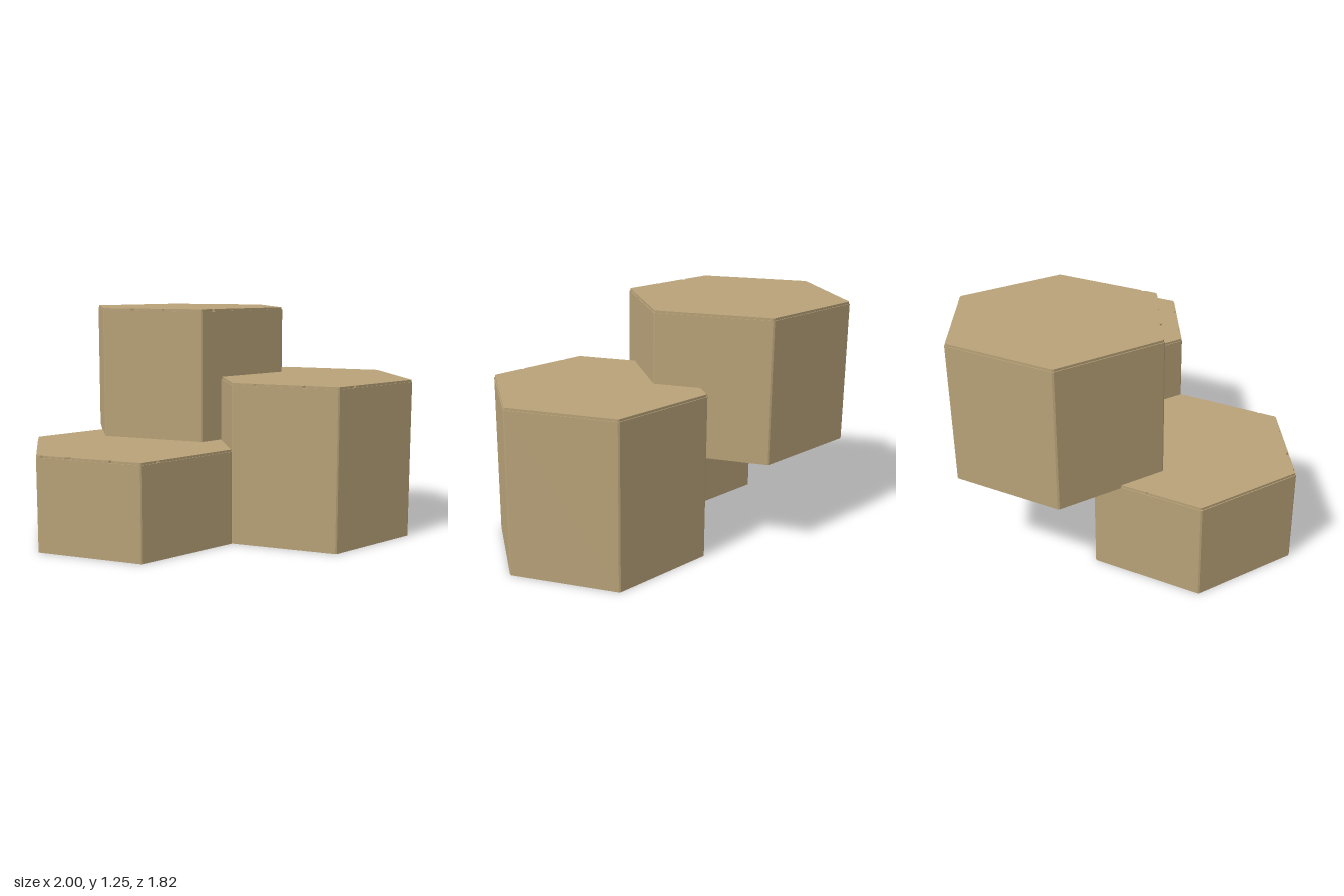
import * as THREE from 'three';

const TILT = 0.2;   // shared turn of all columns around y
const CAP = 0.012;  // thickness of the chipped top rim

// Hexagon outline with slightly cut corners and optional notches.
// Each chip is [edge index, position along the edge, width].
function hexOutline(radius, chips = []) {
  const corners = [];
  for (let i = 0; i < 6; i++) {
    const a = TILT + i * Math.PI / 3;
    corners.push(new THREE.Vector2(Math.cos(a) * radius, Math.sin(a) * radius));
  }
  const points = [];
  for (let i = 0; i < 6; i++) {
    const a = corners[i], b = corners[(i + 1) % 6];
    const along = (t) => a.clone().lerp(b, t);
    points.push(along(0.01));
    for (const [, t, w] of chips.filter((c) => c[0] === i)) {
      const half = w / radius / 2;
      points.push(along(t - half), along(t).multiplyScalar(1 - w * 0.8), along(t + half));
    }
    points.push(along(0.99));
  }
  return new THREE.Shape(points);
}

// Upright prism from an outline, standing between two heights
function prism(outline, bottom, top) {
  const g = new THREE.ExtrudeGeometry(outline, { depth: top - bottom, bevelEnabled: false });
  return g.rotateX(-Math.PI / 2).translate(0, bottom, 0);
}

export function createModel() {
  const stone = new THREE.MeshStandardMaterial({ color: 0xb8a278 });
  stone.name = 'sandstone';

  const columns = [
    { name: 'tallColumn', x: -0.408, z: -0.34, r: 0.604, bottom: 0.5, top: 1.25,
      chips: [[4, 0.3, 0.03], [4, 0.62, 0.015], [5, 0.13, 0.025]] },
    { name: 'middleColumn', x: 0.435, z: -0.323, r: 0.576, bottom: 0, top: 0.872,
      chips: [[4, 0.22, 0.02], [4, 0.69, 0.028], [5, 0.2, 0.02]] },
    { name: 'lowColumn', x: -0.327, z: 0.343, r: 0.594, bottom: 0, top: 0.516,
      chips: [[2, 0.5, 0.012], [4, 0.05, 0.02], [4, 0.31, 0.04], [4, 0.72, 0.025], [5, 0.17, 0.02]] },
  ];

  const model = new THREE.Group();
  model.name = 'stoneColumns';
  for (const c of columns) {
    const column = new THREE.Group();
    column.name = c.name;
    column.position.set(c.x, 0, c.z);

    // Main shaft
    const shaft = new THREE.Mesh(prism(hexOutline(c.r), c.bottom, c.top - CAP), stone);
    shaft.name = 'shaft';
    // Worn top, set in a little and chipped along its edges
    const cap = new THREE.Mesh(prism(hexOutline(c.r - 0.005, c.chips), c.top - CAP, c.top), stone);
    cap.name = 'chippedTop';

    column.add(shaft, cap);
    model.add(column);
  }
  return model;
}
